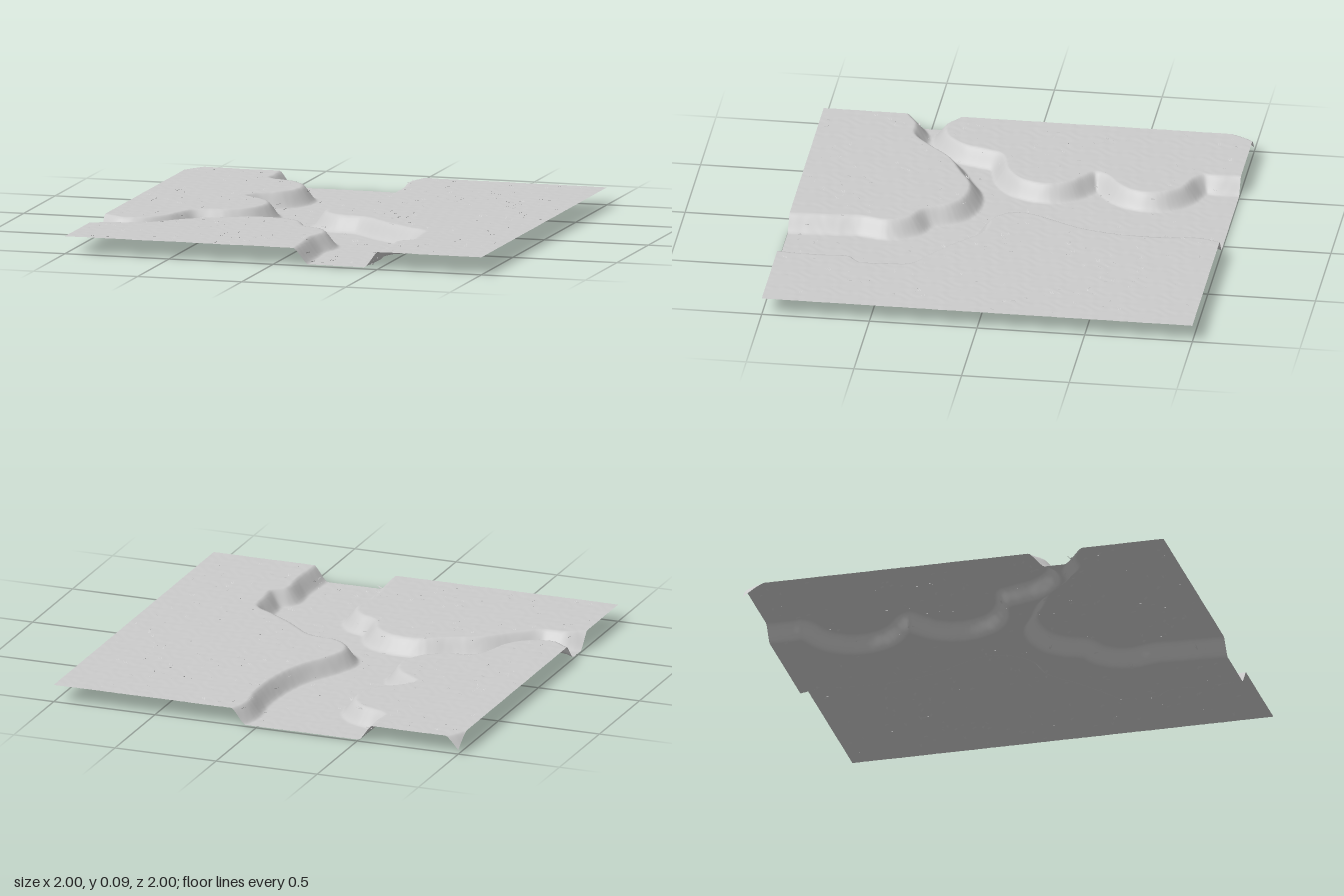
import * as THREE from 'three';

const FLOOR = 0.01, TOP = 0.084, GRID = 220;

// Rim lines of the three plateaus as [x, z], then the far corners that close each outline
const plateaus = [
  { width: 0.06, // back left
    rim: [[-0.57, -1.1], [-0.57, -1], [-0.565, -0.9], [-0.57, -0.83], [-0.53, -0.79], [-0.43, -0.75], [-0.36, -0.67],
      [-0.35, -0.57], [-0.4, -0.47], [-0.5, -0.39], [-0.53, -0.33], [-0.47, -0.28], [-0.4, -0.22], [-0.37, -0.12],
      [-0.41, 0], [-0.5, 0.07], [-0.65, 0.12], [-0.69, 0.21], [-0.72, 0.3], [-0.8, 0.39], [-0.91, 0.415],
      [-1, 0.36], [-1.1, 0.32]],
    close: [[-1.1, -0.75], [-1, -0.9], [-0.97, -0.96], [-0.94, -1], [-0.85, -1.1]] },
  { width: 0.06, // right
    rim: [[0.16, -1.1], [0.12, -1], [0.09, -0.9], [0.11, -0.72], [0.1, -0.5], [0.055, -0.32], [-0.025, -0.16],
      [-0.06, -0.05], [-0.035, 0.02], [0.03, 0.07], [0.16, 0.09], [0.32, 0.22], [0.43, 0.3], [0.54, 0.38],
      [0.555, 0.51], [0.56, 0.61], [0.505, 0.67], [0.51, 0.8], [0.5, 1], [0.5, 1.1]],
    close: [[1.2, 1.2], [1.2, -1.2]] },
  { width: 0.065, // front left
    rim: [[-1.1, 0.65], [-1, 0.61], [-0.91, 0.56], [-0.8, 0.55], [-0.69, 0.46], [-0.585, 0.36], [-0.45, 0.29],
      [-0.32, 0.225], [-0.185, 0.23], [-0.1, 0.28], [-0.035, 0.4], [0.06, 0.45], [0.105, 0.54], [0.08, 0.67],
      [0.09, 0.81], [0.1, 1], [0.1, 1.1]],
    close: [[-1.2, 1.2]] },
].map(({ width, rim, close }) => {
  const curve = new THREE.CatmullRomCurve3(rim.map(([x, z]) => new THREE.Vector3(x, 0, z)), false, 'centripetal');
  return { width, outline: [...curve.getPoints(rim.length * 5).map(p => [p.x, p.z]), ...close] };
});

// Distance from a point to an outline, zero inside it
function distanceOutside(x, z, outline) {
  let inside = false, best = Infinity;
  for (let i = 0, j = outline.length - 1; i < outline.length; j = i++) {
    const [ax, az] = outline[j], [bx, bz] = outline[i];
    if ((az > z) !== (bz > z) && x < ax + (z - az) * (bx - ax) / (bz - az)) inside = !inside;
    const dx = bx - ax, dz = bz - az;
    const t = Math.min(1, Math.max(0, ((x - ax) * dx + (z - az) * dz) / (dx * dx + dz * dz || 1)));
    best = Math.min(best, (x - ax - t * dx) ** 2 + (z - az - t * dz) ** 2);
  }
  return inside ? 0 : Math.sqrt(best);
}

// Ground height: level plateau tops, sloping banks, level channel floor
function heightAt(x, z) {
  let rise = 0;
  for (const { width, outline } of plateaus) {
    const t = Math.max(0, 1 - distanceOutside(x, z, outline) / width);
    rise = Math.max(rise, 0.7 * t + 0.3 * t * t * (3 - 2 * t));
  }
  const bumps = Math.sin(x * 61 + 2 * Math.sin(z * 37)) * Math.sin(z * 53 + 2 * Math.sin(x * 43));
  return FLOOR + (TOP - FLOOR) * rise + 0.0007 * bumps;
}

function seeded(seed) {
  return () => (seed = (seed * 16807) % 2147483647) / 2147483647;
}

// Small low blades, two to a tuft, rooted just under the ground
function tuftGeometry(count) {
  const random = seeded(77), points = [];
  for (let i = 0; i < count; i++) {
    const x = (random() * 2 - 1) * 0.96, z = (random() * 2 - 1) * 0.96, y = heightAt(x, z);
    const turn = random() * Math.PI * 2;
    for (const spread of [-0.2, 0.25]) {
      const a = turn + spread, c = Math.cos(a), s = Math.sin(a), length = 0.02 + 0.02 * random();
      points.push(
        x - s * 0.004, y - 0.004, z + c * 0.004,
        x + s * 0.004, y - 0.007, z - c * 0.004,
        x + c * length, y + 0.003 + 0.004 * random(), z + s * length);
    }
  }
  const geometry = new THREE.BufferGeometry();
  geometry.setAttribute('position', new THREE.Float32BufferAttribute(points, 3));
  geometry.computeVertexNormals();
  return geometry;
}

export function createModel() {
  const group = new THREE.Group();
  group.name = 'riverTerrain';
  const material = new THREE.MeshStandardMaterial({ color: 0xcccccc, side: THREE.DoubleSide });

  // Ground sheet
  const ground = new THREE.PlaneGeometry(2, 2, GRID, GRID).rotateX(-Math.PI / 2);
  const position = ground.attributes.position;
  for (let i = 0; i < position.count; i++) {
    position.setY(i, heightAt(position.getX(i), position.getZ(i)));
  }
  ground.computeVertexNormals();
  const groundMesh = new THREE.Mesh(ground, material);
  groundMesh.name = 'ground';

  // Scattered grass
  const grass = new THREE.Mesh(tuftGeometry(330), material);
  grass.name = 'grassTufts';

  group.add(groundMesh, grass);
  return group;
}
